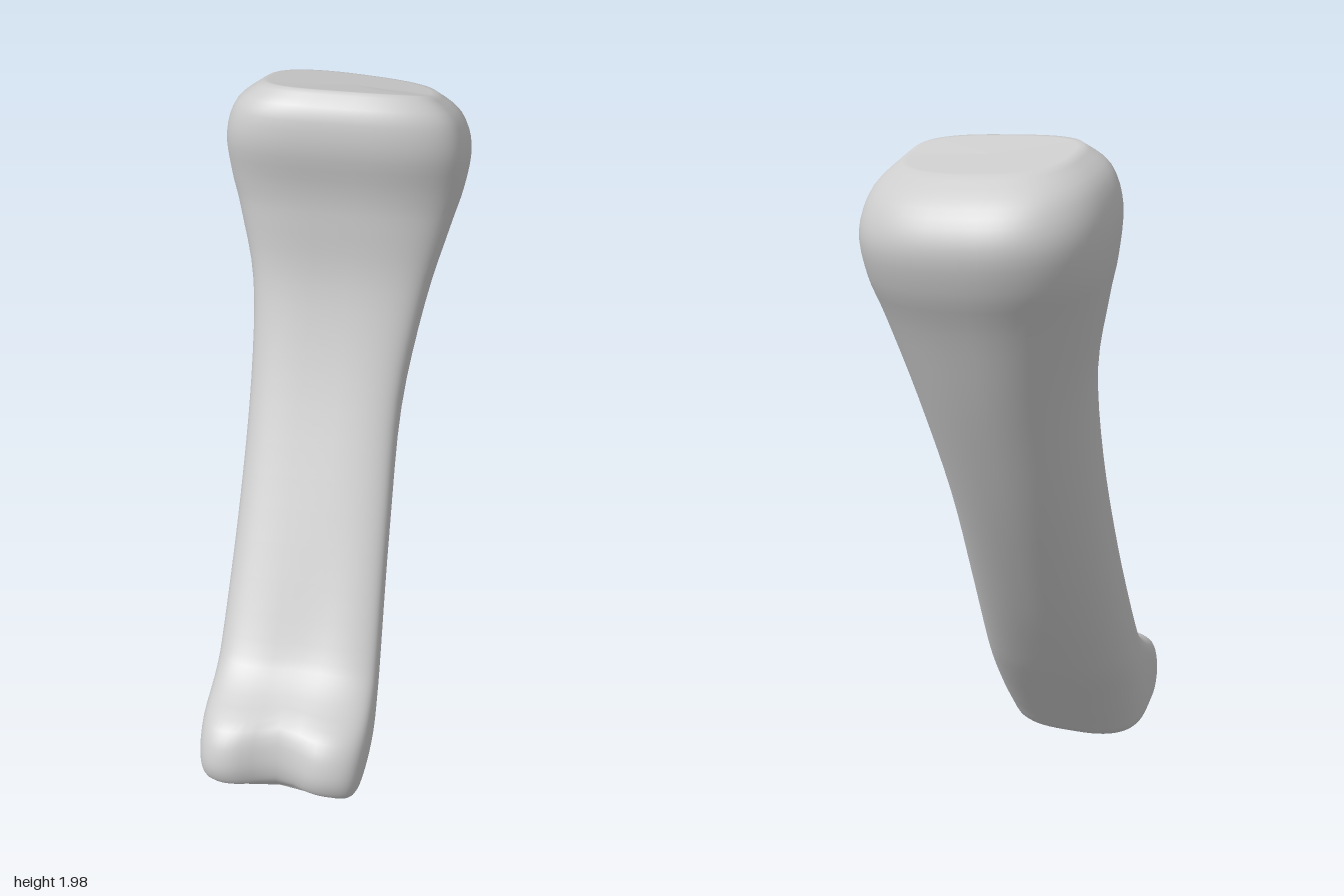
import * as THREE from 'three';

// Cross-sections from the lower joint to the head:
// front z, front y, back z, back y, min x, max x, widest depth (-1 back..1 front), front squareness, back squareness, groove
const SECTIONS = [
  [0.61, 0.09, 0.46, 0.01, -0.11, 0.25, 0.0, 3.2, 3.0, 0.03],
  [0.66, 0.14, 0.39, 0.01, -0.15, 0.30, 0.1, 3.4, 3.0, 0.05],
  [0.67, 0.22, 0.33, 0.07, -0.165, 0.32, 0.1, 3.6, 2.8, 0.06],
  [0.62, 0.31, 0.24, 0.17, -0.175, 0.325, 0.1, 3.4, 2.6, 0.05],
  [0.47, 0.37, 0.15, 0.27, -0.18, 0.31, 0.2, 3.2, 2.4, 0.02],
  [0.37, 0.46, 0.06, 0.38, -0.185, 0.295, 0.3, 3.2, 2.3, 0.01],
  [0.15, 0.80, -0.10, 0.60, -0.20, 0.26, 0.3, 3.2, 2.2, 0],
  [-0.03, 1.13, -0.30, 0.92, -0.22, 0.235, 0.3, 3.2, 2.2, 0],
  [-0.13, 1.40, -0.47, 1.24, -0.25, 0.26, 0.25, 3.0, 2.2, 0],
  [-0.145, 1.60, -0.585, 1.49, -0.305, 0.305, 0.15, 2.8, 2.3, 0],
  [-0.14, 1.71, -0.645, 1.61, -0.335, 0.33, 0.1, 2.9, 2.4, 0],
  [-0.12, 1.84, -0.67, 1.72, -0.342, 0.34, 0.1, 3.0, 2.5, 0],
  [-0.14, 1.94, -0.63, 1.82, -0.31, 0.31, 0.1, 3.0, 2.5, 0],
  [-0.20, 1.99, -0.54, 1.90, -0.24, 0.24, 0.05, 3.0, 2.5, 0],
];
const SIDES = 64, STEPS = 4;

// Smooth interpolation of whole section rows
function sectionAt(t) {
  const i = Math.min(Math.floor(t), SECTIONS.length - 2), u = t - i;
  const row = k => SECTIONS[Math.max(0, Math.min(SECTIONS.length - 1, k))];
  const [a, b, c, d] = [row(i - 1), row(i), row(i + 1), row(i + 2)];
  return b.map((p, k) => p + 0.5 * u * (c[k] - a[k]
    + u * (2 * a[k] - 5 * p + 4 * c[k] - d[k] + u * (3 * (p - c[k]) + d[k] - a[k]))));
}

// One closed ring: square-shouldered in front, rounder behind, slightly skewed
function ring([fz, fy, bz, by, x0, x1, mid, ef, eb, groove], shrink = 1) {
  const points = [], centre = new THREE.Vector3((x0 + x1) / 2, (fy + by) / 2, (fz + bz) / 2);
  for (let j = 0; j < SIDES; j++) {
    const a = (j / SIDES) * Math.PI * 2, c = Math.cos(a), s = Math.sin(a);
    const e = 2 / (s > 0 ? ef : eb);
    const sx = Math.sign(c) * Math.abs(c) ** e, sv = Math.sign(s) * Math.abs(s) ** e;
    const x = centre.x + sx * (x1 - x0) / 2;
    const v = mid + sv * (s > 0 ? 1 - mid : 1 + mid);
    const front = Math.max(0, v);
    const z = centre.z + v * (fz - bz) / 2
      - front * (0.14 * (x - x0 - 0.06) + groove * Math.exp(-(((x - 0.08) / 0.09) ** 2)));
    points.push(new THREE.Vector3(x, centre.y + v * (fy - by) / 2, z).lerp(centre, 1 - shrink));
  }
  return points;
}

function loft(rings) {
  const positions = rings.flat().flatMap(p => [p.x, p.y, p.z]), index = [];
  for (let i = 0; i < rings.length - 1; i++) {
    for (let j = 0; j < SIDES; j++) {
      const k = (j + 1) % SIDES;
      const a = i * SIDES + j, b = i * SIDES + k, c = a + SIDES, d = b + SIDES;
      index.push(a, c, b, b, c, d);
    }
  }
  const geometry = new THREE.BufferGeometry();
  geometry.setAttribute('position', new THREE.Float32BufferAttribute(positions, 3));
  geometry.setIndex(index);
  geometry.computeVertexNormals();
  return geometry;
}

export function createModel() {
  const group = new THREE.Group();
  group.name = 'fingerBone';
  const last = SECTIONS.length - 1, caps = [0.93, 0.6, 0.3, 0.002];
  const rings = [];
  // Lower joint surface, shaft and head, then the flat top surface
  for (const s of [...caps].reverse()) rings.push(ring(SECTIONS[0], s));
  for (let i = 0; i <= last * STEPS; i++) rings.push(ring(sectionAt(i / STEPS)));
  for (const s of caps) rings.push(ring(SECTIONS[last], s));
  const bone = new THREE.Mesh(loft(rings), new THREE.MeshStandardMaterial({ color: 0xcccccc }));
  bone.name = 'bone';
  group.add(bone);
  return group;
}
